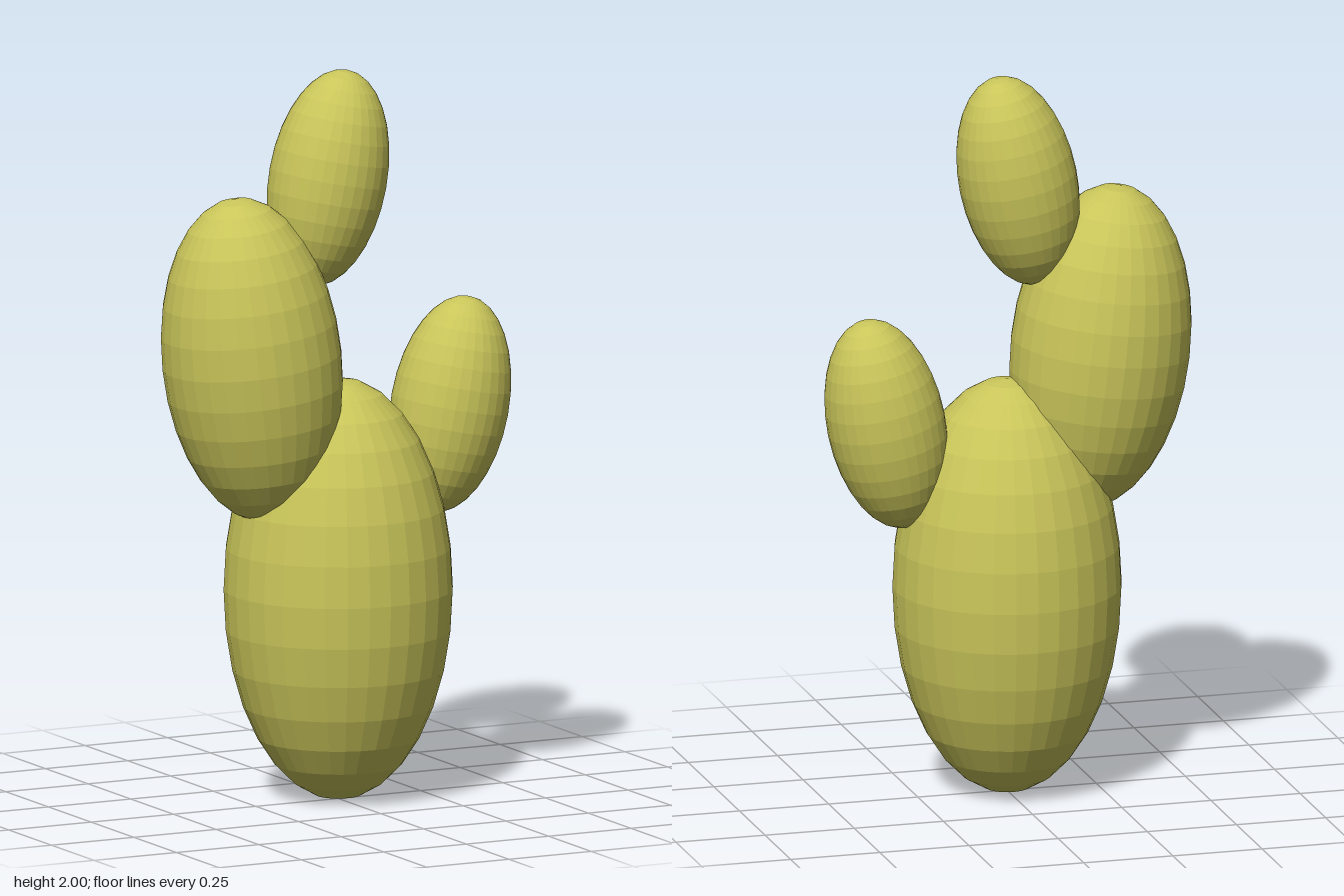
import * as THREE from 'three';

export function createModel() {
  const model = new THREE.Group();
  model.name = 'cactus';
  const skin = new THREE.MeshStandardMaterial({ color: 0xc9c55a });
  skin.name = 'cactus skin';

  // Faceted unit sphere shared by every pad; non-indexed so each facet is flat
  const sphere = new THREE.SphereGeometry(1, 32, 16).toNonIndexed();
  sphere.computeVertexNormals();

  // name, centre x, centre y, radius, half length, lean about z
  const pads = [
    ['trunk', 0, 0.58, 0.31, 0.577, 0],
    ['largeRightPad', -0.262, 1.229, 0.243, 0.448, 0.115],
    ['topPad', -0.031, 1.708, 0.16, 0.297, -0.2],
    ['smallLeftPad', 0.339, 1.056, 0.16, 0.297, -0.2],
  ];
  for (const [name, x, y, radius, halfLength, lean] of pads) {
    const pad = new THREE.Mesh(sphere, skin);
    pad.name = name;
    pad.position.set(x, y, 0);
    pad.scale.set(radius, halfLength, radius);
    pad.rotation.z = lean;
    model.add(pad);
  }
  return model;
}
